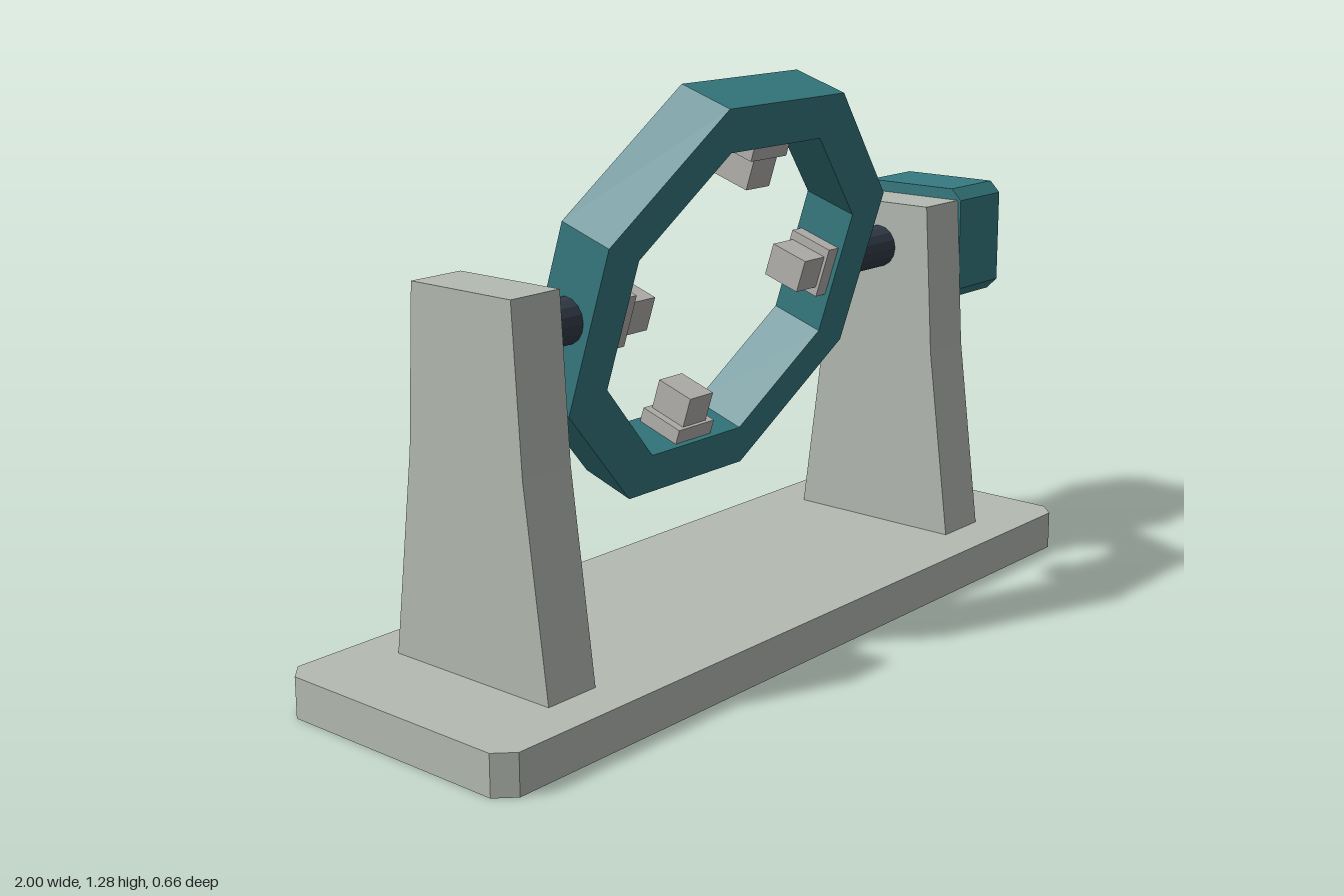
import * as THREE from 'three';

const mat = (name, color) => {
  const m = new THREE.MeshStandardMaterial({ color, flatShading: true });
  m.name = name;
  return m;
};

// Polygon shape from [x, y] points
const poly = (pts) => new THREE.Shape(pts.map(([x, y]) => new THREE.Vector2(x, y)));

// Rectangle with cut corners, given half sizes
const chamferRect = (w, h, c) => poly([
  [w - c, -h], [w, -h + c], [w, h - c], [w - c, h],
  [-w + c, h], [-w, h - c], [-w, -h + c], [-w + c, -h],
]);

// Regular octagon points with flats on the axes
const octagon = (apothem) => Array.from({ length: 8 }, (_, i) => {
  const a = (i + 0.5) * Math.PI / 4, r = apothem / Math.cos(Math.PI / 8);
  return [r * Math.cos(a), r * Math.sin(a)];
});

// Extrusion centred on its own depth
const slab = (shape, depth) =>
  new THREE.ExtrudeGeometry(shape, { depth, bevelEnabled: false }).translate(0, 0, -depth / 2);

export function createModel() {
  const model = new THREE.Group();
  model.name = 'tiltingRingFixture';
  const grey = mat('light grey', 0xb4bab2);
  const teal = mat('teal', 0x357a80);
  const steel = mat('dark steel', 0x323c48);
  const padGrey = mat('warm grey', 0xb4b2ae);

  const add = (parent, name, geometry, material, x = 0, y = 0, z = 0) => {
    const mesh = new THREE.Mesh(geometry, material);
    mesh.name = name;
    mesh.position.set(x, y, z);
    parent.add(mesh);
    return mesh;
  };
  const axisY = 0.803;

  // Base plate with cut corners
  add(model, 'basePlate', slab(chamferRect(1, 0.33, 0.04), 0.093).rotateX(-Math.PI / 2), grey, 0, 0.0465, 0);

  // Tapered towers and the shafts they carry
  const tower = slab(poly([
    [-0.225, 0.093], [0.225, 0.093], [0.165, 0.555],
    [0.143, 0.915], [-0.143, 0.915], [-0.165, 0.555],
  ]), 0.136).rotateY(Math.PI / 2);
  const shaft = new THREE.CylinderGeometry(0.052, 0.052, 0.2, 16).rotateZ(Math.PI / 2);
  for (const [side, s] of [['left', 1], ['right', -1]]) {
    add(model, side + 'Tower', tower, grey, s * 0.706, 0, 0);
    add(model, side + 'Shaft', shaft, steel, s * 0.556, axisY, 0);
  }

  // Drive housing on the outside of the left tower
  add(model, 'driveHousing', slab(chamferRect(0.152, 0.139, 0.027), 0.176).rotateY(Math.PI / 2),
    teal, 0.862, axisY, 0);

  // Octagonal ring, tilted forward on its shafts
  const ring = new THREE.Group();
  ring.name = 'tiltingRing';
  ring.position.y = axisY;
  ring.rotation.x = Math.PI / 10;
  model.add(ring);
  const ringShape = poly(octagon(0.478));
  ringShape.holes.push(poly(octagon(0.373)));
  add(ring, 'ringFrame', slab(ringShape, 0.14), teal);

  // Four clamps pointing inwards
  for (let i = 0; i < 4; i++) {
    const clamp = new THREE.Group();
    clamp.name = 'clamp' + (i + 1);
    clamp.rotation.z = i * Math.PI / 2;
    ring.add(clamp);
    add(clamp, 'clampPlate', new THREE.BoxGeometry(0.123, 0.043, 0.116), padGrey, 0, 0.3585, 0);
    add(clamp, 'clampBlock', new THREE.BoxGeometry(0.08, 0.085, 0.1), padGrey, 0, 0.3055, 0);
  }
  return model;
}
